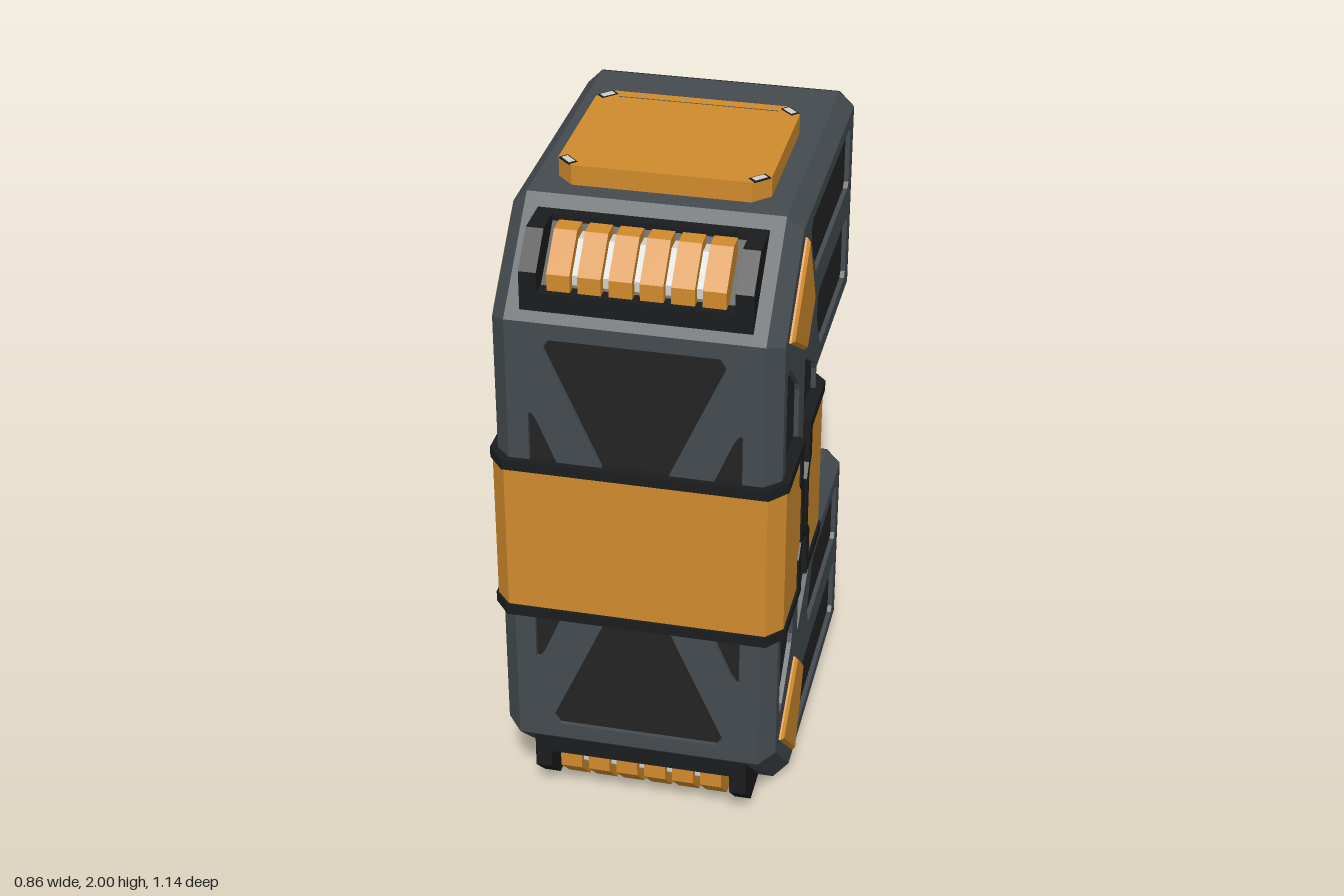
import * as THREE from 'three';

const mat = (name, color) => Object.assign(new THREE.MeshStandardMaterial({ color }), { name });

export function createModel() {
  const root = new THREE.Group();
  const grey = mat('gunmetal', 0x444b4f), black = mat('panelBlack', 0x232323);
  const trim = mat('trimBlack', 0x1b1c1d), orange = mat('orange', 0xd08b2d), pale = mat('paleGrey', 0xd0d0cc);
  const H = 1.94, HW = 0.41, C = 0.045;
  const flip = pts => pts.map(([a, y]) => [a, H - y]);
  const mirrorX = pts => pts.map(([x, y]) => [-x, y]);

  function add(name, geo, material) {
    const m = new THREE.Mesh(geo, material);
    m.name = name;
    root.add(m);
    return m;
  }

  // cuts each corner of an outline
  function cut(pts, r = 0.016) {
    return pts.flatMap((p, i) => [pts.at(i - 1), pts[(i + 1) % pts.length]].map(q => {
      const d = Math.hypot(q[0] - p[0], q[1] - p[1]), t = Math.min(r / d, 0.4);
      return [p[0] + (q[0] - p[0]) * t, p[1] + (q[1] - p[1]) * t];
    }));
  }
  const vecs = pts => pts.map(p => new THREE.Vector2(p[0], p[1]));
  function extrude(pts, depth, holes = [], bevel = 0) {
    const s = new THREE.Shape(vecs(pts));
    holes.forEach(h => s.holes.push(new THREE.Path(vecs(h))));
    return new THREE.ExtrudeGeometry(s, {
      depth, bevelEnabled: bevel > 0, bevelSize: bevel, bevelThickness: bevel, bevelOffset: -bevel, bevelSegments: 1,
    });
  }
  // (x, y) outline along z
  const frontPrism = (pts, z0, z1, holes) => extrude(pts, z1 - z0, holes).translate(0, 0, z0);
  // (z, y) outline along x
  function sidePrism(pts, x0, x1, holes = [], bevel = 0) {
    const n = l => l.map(([z, y]) => [-z, y]);
    return extrude(n(pts), x1 - x0, holes.map(n), bevel).rotateY(Math.PI / 2).translate(x0, 0, 0);
  }
  // (x, z) outline along y
  function planPrism(pts, y0, y1, holes = []) {
    const n = l => l.map(([x, z]) => [x, -z]);
    return extrude(n(pts), y1 - y0, holes.map(n)).rotateX(-Math.PI / 2).translate(0, y0, 0);
  }

  // C-shaped body: chamfered sections from the upper arm, round the spine, to the lower arm
  const both = half => [...half, ...flip(half).reverse()];
  const outer = both([[-0.57, 1.94], [0.28, 1.94], [0.55, 1.68]]);
  const outerIn = both([[-0.57, 1.895], [0.261, 1.895], [0.505, 1.661]]);
  const inner = both([[-0.57, 1.26], [-0.07, 1.26], [-0.07, 1.26]]);
  const innerIn = both([[-0.57, 1.305], [-0.025, 1.305], [-0.025, 1.305]]);
  const rings = outer.map((_, i) => {
    const h = [[HW - C, outer[i]], [HW, outerIn[i]], [HW, innerIn[i]], [HW - C, inner[i]]];
    return [...h, ...h.map(([x, p]) => [-x, p]).reverse()].map(([x, p]) => [x, p[1], p[0]]);
  });
  const pos = [];
  for (let i = 0; i < 5; i++) for (let j = 0; j < 8; j++) {
    if (j === 1 || j === 5 || (i === 2 && j === 7)) continue;   // panelled faces are added below
    const k = (j + 1) % 8, a = rings[i][j], b = rings[i][k], c = rings[i + 1][k], d = rings[i + 1][j];
    pos.push(...a, ...d, ...c, ...a, ...c, ...b);
  }
  const shell = new THREE.BufferGeometry();
  shell.setAttribute('position', new THREE.Float32BufferAttribute(pos, 3));
  shell.computeVertexNormals();
  add('bodyShell', shell, grey);

  // dark core behind the panel openings
  const sideOutline = [...outerIn, innerIn[5], innerIn[4], innerIn[1], innerIn[0]];
  add('panelCore', sidePrism(sideOutline, -0.396, 0.396), black);
  add('frontPanelCore', new THREE.BoxGeometry(0.73, 1.4, 0.06).translate(0, H / 2, 0.506), black);

  // side frames with openings
  const sideHoles = [
    [[0.12, 1.855], [-0.52, 1.855], [-0.52, 1.655], [0.05, 1.655], [0.14, 1.81]],
    [[-0.02, 1.56], [-0.52, 1.56], [-0.52, 1.35], [-0.075, 1.35], [0, 1.485]],
    [[0.463, 1.555], [0.43, 1.555], [0.265, 1.41], [0.265, 1.15], [0.463, 1.15]],
    [[0.18, 1.455], [-0.015, 1.32], [-0.015, 1.15], [0.18, 1.15]],
  ].map(p => cut(p));
  const allSide = [...sideHoles, ...sideHoles.map(flip)];
  add('leftFrame', sidePrism(sideOutline, 0.394, HW, allSide), grey);
  add('rightFrame', sidePrism(sideOutline, -HW, -0.394, allSide), grey);

  // front frame with braces
  const tri = cut([[0.305, 1.40], [0.285, 1.38], [0.21, 1.2], [0.305, 1.2]], 0.01);
  const trap = cut([[-0.27, 1.63], [0.27, 1.63], [0.08, 1.2], [-0.08, 1.2]], 0.03);
  const frontHoles = [trap, tri, mirrorX(tri)];
  add('frontFrame', frontPrism([[-0.365, 0.26], [0.365, 0.26], [0.365, 1.68], [-0.365, 1.68]], 0.534, 0.55,
    [...frontHoles, ...frontHoles.map(flip)]), grey);

  // arm ends, inner arm panels, corner gems
  const e = HW - C;
  const end = [[-e, 1.94], [e, 1.94], [HW, 1.895], [HW, 1.305], [e, 1.26], [-e, 1.26], [-HW, 1.305], [-HW, 1.895]];
  const gem = [[0.235, 1.86], [0.113, 1.615], [0.23, 1.505], [0.457, 1.65]];
  [['upper', p => p], ['lower', flip]].forEach(([side, f]) => {
    add(side + 'ArmEnd', frontPrism(f(end), -0.574, -0.569), black);
    const y = side === 'upper' ? 1.258 : 0.678;
    add(side + 'InnerPanel', planPrism([[-0.27, -0.43], [0.27, -0.43], [0.2, -0.15], [-0.2, -0.15]], y, y + 0.004), black);
    add(side + 'LeftGem', sidePrism(f(gem), 0.4, 0.416, [], 0.009), orange);
    add(side + 'RightGem', sidePrism(f(gem), -0.416, -0.4, [], 0.009), orange);

    // vent housing on the sloped corner
    const cheek = f([[0.25, 1.91], [0.436, 1.91], [0.526, 1.82], [0.526, 1.70], [0.25, 1.70]]);
    add(side + 'VentCheekLeft', sidePrism(cheek, 0.275, 0.325), trim);
    add(side + 'VentCheekRight', sidePrism(cheek, -0.325, -0.275), trim);
    add(side + 'VentBackLip', sidePrism(f([[0.25, 1.91], [0.345, 1.91], [0.345, 1.85], [0.25, 1.85]]), -0.28, 0.28), trim);
    add(side + 'VentFrontLip', sidePrism(f([[0.45, 1.76], [0.526, 1.76], [0.526, 1.70], [0.45, 1.70]]), -0.28, 0.28), trim);
    add(side + 'VentFloor', sidePrism(f([[0.34, 1.895], [0.51, 1.73], [0.4, 1.73], [0.34, 1.8]]), -0.28, 0.28), trim);
    const fin = f([[0.37, 1.908], [0.425, 1.908], [0.517, 1.815], [0.517, 1.765], [0.37, 1.765]]);
    const slat = f([[0.37, 1.88], [0.415, 1.88], [0.49, 1.805], [0.49, 1.775], [0.37, 1.775]]);
    for (let i = 0; i < 6; i++) {
      const x = (i - 2.5) * 0.0865;
      add(side + 'VentFin', sidePrism(fin, x - 0.0325, x + 0.0325), orange);
      if (i < 5) add(side + 'VentSlat', sidePrism(slat, x + 0.03, x + 0.0565), pale);
    }
  });

  // grip band in two wrapped halves, each with black rims and a notched side edge
  const wrap = (edge, z1, z2, g) => [[-0.425 - g, edge], [-0.425 - g, z1], [-0.38 - g / 2, z2], [0.38 + g / 2, z2],
    [0.425 + g, z1], [0.425 + g, edge]];
  const notch = (a, b) => [[a, 1.21], [a, 1.1], [b, 1.06], [b, 0.88], [a, 0.84], [a, 0.73]];
  [
    ['front', 0.305, 0.27, 0.265, 0.23, 0.51, 0.56, 0.008],
    ['back', 0.13, 0.165, 0.175, 0.205, -0.065, -0.11, -0.008],
  ].forEach(([side, a, b, ta, tb, z1, z2, dz]) => {
    add(side + 'Band', planPrism(wrap(a, z1, z2, 0), 0.735, 1.205), orange);
    for (const y of [0.705, 1.205])
      add(side + 'BandRim', planPrism(wrap(ta, z1, z2 + dz, 0.007), y, y + 0.033), trim);
    const edge = [...notch(a, b), ...notch(ta, tb).reverse()];
    for (const x of [-0.43, 0.4]) {
      add(side + 'BandTab', sidePrism([[a, 1.1], [b, 1.06], [b, 0.88], [a, 0.84]], x + (x < 0 ? 0.005 : 0), x + (x < 0 ? 0.03 : 0.025)), orange);
      add(side + 'BandEdge', sidePrism(edge, x, x + 0.03), trim);
    }
  });

  // top pad with a shallow tray and corner lights
  const oct = (w, d, c) => [[-w, -d + c], [-w + c, -d], [w - c, -d], [w, -d + c], [w, d - c], [w - c, d], [-w + c, d], [-w, d - c]]
    .map(([x, z]) => [x, z - 0.04]);
  add('topPadRim', planPrism(oct(0.302, 0.258, 0.048), 1.935, 2, [oct(0.265, 0.222, 0.03)]), orange);
  add('topPadTray', planPrism(oct(0.28, 0.235, 0.03), 1.935, 1.992), orange);
  for (const sx of [-1, 1]) for (const sz of [-1, 1]) {
    const turn = sx * sz * Math.PI / 4;
    const at = (w, d, y) => new THREE.BoxGeometry(w, 0.004, d).rotateY(turn).translate(sx * 0.27, y, -0.04 + sz * 0.226);
    add('padLightBezel', at(0.054, 0.028, 1.9995), trim);
    add('padLight', at(0.04, 0.019, 2.001), pale);
  }
  return root;
}
